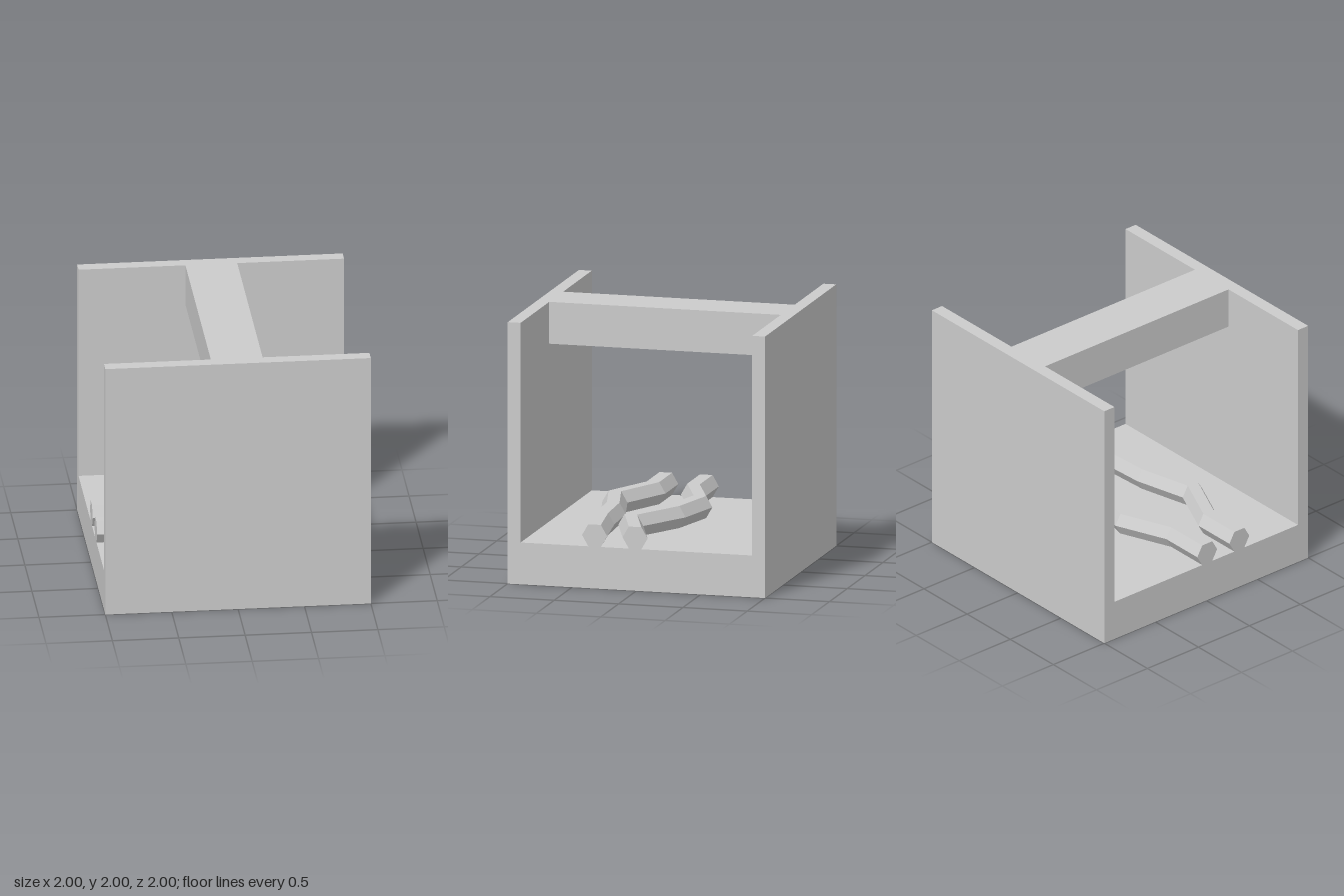
import * as THREE from 'three';

const material = new THREE.MeshStandardMaterial({ color: 0xcccccc, flatShading: true });

function addMesh(group, name, geometry) {
  const mesh = new THREE.Mesh(geometry, material);
  mesh.name = name;
  group.add(mesh);
  return mesh;
}

// Hexagonal rod following [x, z] points; every cross-section stays in the y-z plane
function rodGeometry(path, radius, centreY) {
  const steps = path.length - 1;
  const geometry = new THREE.CylinderGeometry(radius, radius, steps, 6, steps);
  geometry.rotateZ(-Math.PI / 2);
  const pos = geometry.attributes.position;
  for (let i = 0; i < pos.count; i++) {
    const [x, z] = path[Math.round(pos.getX(i) + steps / 2)];
    pos.setXYZ(i, x, pos.getY(i) + centreY, pos.getZ(i) + z);
  }
  geometry.computeVertexNormals();
  return geometry;
}

export function createModel() {
  const group = new THREE.Group();
  const floorTop = 0.32, inner = 0.9;

  // U-shaped channel: thick floor with thin front and back walls
  const profile = new THREE.Shape([
    [-1, 0], [1, 0], [1, 2], [inner, 2], [inner, floorTop],
    [-inner, floorTop], [-inner, 2], [-1, 2],
  ].map(([z, y]) => new THREE.Vector2(z, y)));
  const channel = new THREE.ExtrudeGeometry(profile, { depth: 2, bevelEnabled: false });
  channel.translate(0, 0, -1).rotateY(Math.PI / 2);
  addMesh(group, 'floorAndWalls', channel);

  // Beam bridging the tops of the walls
  addMesh(group, 'topBeam', new THREE.BoxGeometry(0.39, 0.32, 2 * inner))
    .position.set(0, 1.84, 0);

  // Two bent rods lying on the floor
  const radius = 0.0975;
  const centreY = floorTop + radius * Math.sin(Math.PI / 3);
  const rods = {
    backRod: [[-1, 0.01], [-0.64, 0.01], [-0.24, -0.15], [0.17, -0.055], [0.56, 0.165], [1, 0.01]],
    frontRod: [[-1, 0.325], [-0.64, 0.325], [-0.24, 0.51], [0.17, 0.41], [0.56, 0.39], [1, 0.325]],
  };
  for (const [name, path] of Object.entries(rods)) {
    addMesh(group, name, rodGeometry(path, radius, centreY));
  }
  return group;
}
